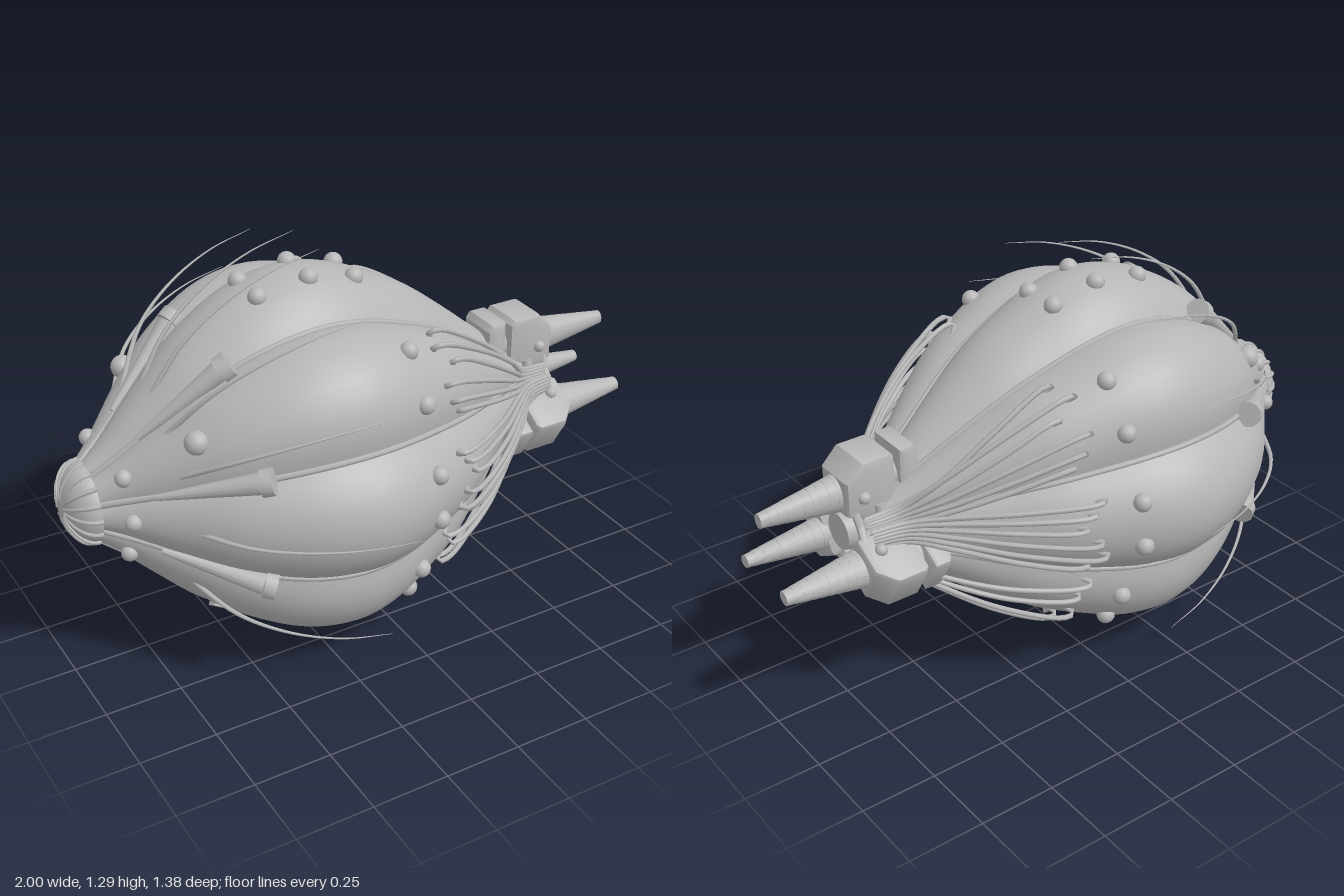
import * as THREE from 'three';
import { toCreasedNormals } from 'three/addons/utils/BufferGeometryUtils.js';

const V = (x, y, z) => new THREE.Vector3(x, y, z);
const rad = THREE.MathUtils.degToRad;

// Hull radius along x, measured at the crown of each lobe
const profile = new THREE.SplineCurve([
  [-0.92, 0.12], [-0.85, 0.18], [-0.72, 0.315], [-0.58, 0.45], [-0.4, 0.56], [-0.23, 0.604], [-0.08, 0.587],
  [0.06, 0.53], [0.2, 0.455], [0.33, 0.355], [0.49, 0.22], [0.6, 0.135], [0.7, 0.08],
].map(([x, r]) => new THREE.Vector2(x, r))).getPoints(240);

function hullRadius(x) {
  let i = 1;
  while (i < profile.length - 1 && profile[i].x < x) i++;
  const a = profile[i - 1], b = profile[i];
  return THREE.MathUtils.lerp(a.y, b.y, THREE.MathUtils.clamp((x - a.x) / (b.x - a.x), 0, 1));
}

// Eight round lobes; angle in degrees, 0 is the top and 90 is +z
function lobeFactor(deg) {
  const d = rad(deg - Math.round(deg / 45) * 45);
  return (0.369 * Math.cos(d) + Math.sqrt(0.0534 - (0.369 * Math.sin(d)) ** 2)) / 0.6;
}
const at = (x, deg, r) => V(x, r * Math.cos(rad(deg)), r * Math.sin(rad(deg)));
const onHull = (x, deg, lift = 0) => at(x, deg, hullRadius(x) * lobeFactor(deg) + lift);

function lobeGeometry(nx = 48, na = 10) {
  const pos = [], idx = [];
  for (let i = 0; i <= nx; i++) {
    const x = -0.92 + (1.62 * i) / nx;
    for (let j = 0; j <= na; j++) pos.push(...onHull(x, -22.5 + (45 * j) / na).toArray());
  }
  for (let i = 0; i < nx; i++) for (let j = 0; j < na; j++) {
    const a = i * (na + 1) + j, b = a + na + 1;
    idx.push(a, a + 1, b, b, a + 1, b + 1);
  }
  const g = new THREE.BufferGeometry();
  g.setAttribute('position', new THREE.Float32BufferAttribute(pos, 3));
  g.setIndex(idx);
  g.computeVertexNormals();
  return g;
}

// Tube whose thickness fades towards its end
function taperedTube(points, r, endScale, segs = 24, sides = 6) {
  const curve = new THREE.CatmullRomCurve3(points);
  const g = new THREE.TubeGeometry(curve, segs, r, sides);
  const p = g.attributes.position, v = V(0, 0, 0);
  for (let i = 0; i < p.count; i++) {
    const t = Math.floor(i / (sides + 1)) / segs, c = curve.getPointAt(t);
    v.fromBufferAttribute(p, i).sub(c).multiplyScalar(1 + (endScale - 1) * t).add(c);
    p.setXYZ(i, v.x, v.y, v.z);
  }
  return g;
}

export function createModel() {
  const root = new THREE.Group();
  const model = new THREE.Group();
  model.name = 'airship';
  model.position.y = 0.604;
  root.add(model);
  const grey = new THREE.MeshStandardMaterial({ color: 0xb6b6b6 });
  grey.name = 'grey';

  const add = (name, geo, parent = model) => {
    const m = new THREE.Mesh(geo, grey);
    m.name = name;
    parent.add(m);
    return m;
  };
  const rod = (name, p, q, r0, r1, sides = 12, parent = model) => {
    const m = add(name, toCreasedNormals(new THREE.CylinderGeometry(r1, r0, p.distanceTo(q), sides), 0.8), parent);
    m.position.copy(p).lerp(q, 0.5);
    m.quaternion.setFromUnitVectors(V(0, 1, 0), q.clone().sub(p).normalize());
    return m;
  };
  const stud = (x, deg, r = 0.03) => add('stud', new THREE.SphereGeometry(r, 14, 10)).position.copy(onHull(x, deg));

  // Hull lobes with a cord along every seam
  const lobe = lobeGeometry();
  const seamPoints = [];
  for (let x = -0.91; x < 0.69; x += 0.1) seamPoints.push(onHull(x, 22.5, 0.002));
  const seam = taperedTube(seamPoints, 0.011, 0.8, 48);
  for (let k = 0; k < 8; k++) {
    add('hullLobe', lobe).rotation.x = (k * Math.PI) / 4;
    add('seamCord', seam).rotation.x = (k * Math.PI) / 4;
  }

  // Ribbed nose cap
  const cap = new THREE.SphereGeometry(1, 32, 10, 0, Math.PI * 2, 0, Math.PI / 2);
  cap.scale(0.13, 0.085, 0.13).rotateZ(Math.PI / 2).translate(-0.91, 0, 0);
  add('noseCap', cap);
  const ribPts = [0, 20, 40, 60, 78].map(d => V(-0.91 - 0.085 * Math.sin(rad(d)), 0.132 * Math.cos(rad(d)), 0));
  const rib = taperedTube(ribPts, 0.008, 0.5, 10);
  for (let k = 0; k < 16; k++) add('noseRib', rib).rotation.x = (k * Math.PI) / 8;

  // Studs along the crown, around the waist and near the nose
  for (const s of [-1, 1]) {
    for (const x of [-0.35, -0.18, -0.02]) stud(x, s * 6.5);
    for (const a of [39.5, 57, 80, 95.5, 123, 137.5]) stud(0, s * a);
    stud(-0.66, s * 45, 0.037);
    for (const a of [46, 88, 132]) stud(-0.84, s * a, 0.027);
  }

  // Long swept whiskers
  for (const s of [-1, 1]) for (const a of [6.7, 32.5, 58, 90, 130]) {
    const pts = [[-0.71, 0.3], [-0.6, 0.47], [-0.47, 0.575], [-0.31, 0.65], [-0.15, 0.688]].map(([x, r]) => at(x, s * a, r));
    add('whisker', taperedTube(pts, 0.009, 0.08));
  }

  // Flared horns sitting on the forward seams
  for (const s of [-1, 1]) for (const a of [22.5, 67.5, 112.5]) {
    const p = at(-0.77, s * a, 0.245), q = at(-0.535, s * a, 0.46), e = at(-0.505, s * a, 0.482);
    rod('hornBody', p, q, 0.01, 0.034);
    rod('hornCollar', q, e, 0.042, 0.042);
  }

  // Cables running from the rear of the side lobes to the engines
  const cableSets = [
    { starts: [[0.1, 39.5], [0.13, 32], [0.16, 45], [0.1, 53], [0.12, 59], [0.15, 63]], end: [0.7, 62, 0.12], spread: 4 },
    { starts: [[0.1, 77], [0.13, 81], [0.16, 86], [0.12, 92], [0.1, 98], [0.14, 103]], end: [0.7, 80, 0.14], spread: 4 },
    { starts: [[0.1, 117], [0.13, 123], [0.12, 135], [0.15, 141]], end: [0.66, 140, 0.17], spread: 7 },
  ];
  for (const s of [-1, 1]) for (const { starts, end, spread } of cableSets) {
    starts.forEach(([x, a], i) => {
      const ea = end[1] + (i - (starts.length - 1) / 2) * spread;
      const mix = t => s * (a + (ea - a) * t);
      add('cable', taperedTube([
        onHull(x + 0.03, s * a, -0.015), onHull(x, s * a, 0.012), onHull(x + 0.04, s * a, 0.035),
        onHull(0.34, mix(0.25), 0.06), onHull(0.5, mix(0.65), 0.055),
        at(end[0] - 0.1, mix(0.95), end[2] + 0.03), at(end[0], s * ea, end[2]),
      ], 0.009, 0.9, 32));
    });
  }

  // Three engines around the tail
  const slab = (outline, halfWidth, bevel) => {
    const shape = new THREE.Shape(outline.map(([x, y]) => new THREE.Vector2(x, y)));
    const g = new THREE.ExtrudeGeometry(shape, {
      depth: 2 * (halfWidth - bevel), bevelEnabled: true, bevelSize: bevel, bevelThickness: bevel,
      bevelOffset: -bevel, bevelSegments: 2,
    });
    return toCreasedNormals(g.translate(0, 0, -(halfWidth - bevel)), 0.5);
  };
  const clampGeo = slab([[0.49, 0.08], [0.52, 0.056], [0.56, 0.056], [0.56, 0.256], [0.505, 0.256], [0.49, 0.235]], 0.075, 0.015);
  const housingGeo = slab([[0.575, 0.056], [0.7, 0.056], [0.745, 0.085], [0.745, 0.2], [0.69, 0.256], [0.59, 0.256], [0.575, 0.24]], 0.08, 0.02);
  const steps = [], n = 10;
  for (let i = 0; i < n; i++) {
    const x = 0.73 + (0.27 * i) / n, r = 0.063 - 0.04 * (i / n);
    steps.push(new THREE.Vector2(r, x), new THREE.Vector2(r - 0.003, x + 0.27 / n));
  }
  steps.push(new THREE.Vector2(0.0001, 1));
  const drillGeo = toCreasedNormals(new THREE.LatheGeometry(steps, 16).rotateZ(-Math.PI / 2).scale(1, 1, 0.86), 0.5);
  for (let k = 0; k < 3; k++) {
    const engine = new THREE.Group();
    engine.name = 'engine';
    engine.rotation.x = (k * Math.PI * 2) / 3;
    model.add(engine);
    add('engineClamp', clampGeo, engine);
    add('engineHousing', housingGeo, engine);
    rod('engineNeck', V(0.54, 0.155, 0), V(0.6, 0.155, 0), 0.06, 0.06, 16, engine);
    add('engineSpike', drillGeo, engine).position.y = 0.137;
    for (const s of [-1, 1]) {
      add('engineBolt', new THREE.SphereGeometry(0.02, 12, 8), engine).position.set(0.69, 0.14, s * 0.08);
      // Struts tying the engines to the hub and to each other
      rod('hubStrut', V(0.71, 0.07, s * 0.07), V(0.72, 0, s * 0.125), 0.013, 0.013, 8, engine);
      rod('hubBrace', V(0.64, 0.07, s * 0.08), V(0.64, 0.02, s * 0.13), 0.018, 0.018, 8, engine);
    }
  }
  rod('tailHub', V(0.6, 0, 0), V(0.74, 0, 0), 0.085, 0.06, 16);

  // Landing feet and keel fittings under the hull
  for (const s of [-1, 1]) {
    rod('rearFoot', onHull(-0.04, s * 163, 0), onHull(0.07, s * 163, 0.015), 0.012, 0.028, 4);
    rod('frontFoot', onHull(-0.57, s * 163, 0.005), onHull(-0.47, s * 163, 0.012), 0.026, 0.012, 4);
    rod('keelFitting', onHull(0.4, s * 174, 0.008), onHull(0.49, s * 172, 0.012), 0.014, 0.014, 4);
  }
  return root;
}
